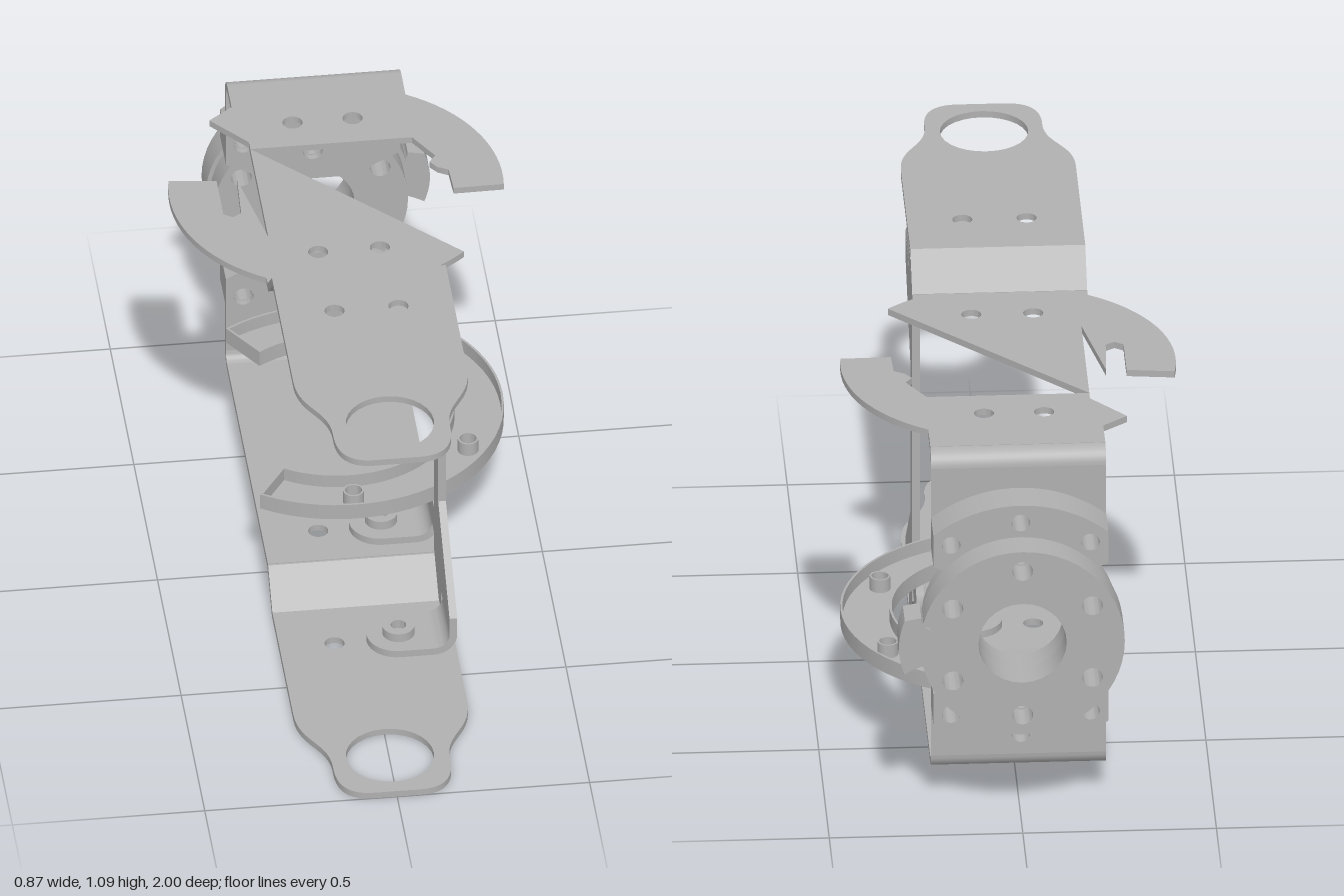
import * as THREE from 'three';
import { toCreasedNormals } from 'three/addons/utils/BufferGeometryUtils.js';

const W = 0.226, T = 0.018, TOP = 1.09, MID = 0.545, RZ = -0.295;

export function createModel() {
  const model = new THREE.Group();
  const metal = new THREE.MeshStandardMaterial({ color: 0xb0b0b0, side: THREE.DoubleSide });
  metal.name = 'grey metal';

  const add = (name, geo) => {
    const m = new THREE.Mesh(toCreasedNormals(geo, 0.5), metal);
    m.name = name;
    model.add(m);
    return m;
  };
  const poly = (pts) => new THREE.Shape(pts.map(([a, b]) => new THREE.Vector2(a, b)));
  const punch = (shape, holes, r) => {
    for (const [a, b] of holes) shape.holes.push(new THREE.Path().absarc(a, b, r, 0, Math.PI * 2));
    return shape;
  };
  const arc = (cx, cy, r, a0, a1, n = 16) => Array.from({ length: n + 1 }, (_, i) => {
    const a = a0 + (a1 - a0) * i / n;
    return [cx + r * Math.cos(a), cy + r * Math.sin(a)];
  });
  const ex = (shape, depth) => new THREE.ExtrudeGeometry(shape, { depth, bevelEnabled: false, curveSegments: 14 });
  // plan: shape in (x, z), laid flat below yTop
  const plan = (name, shape, yTop, t) => add(name, ex(shape, t).rotateX(Math.PI / 2).translate(0, yTop, 0));
  // side: shape in (z, y), spanning x0..x1
  const side = (name, shape, x0, x1) => add(name, ex(shape, x1 - x0).rotateY(-Math.PI / 2).translate(x1, 0, 0));
  // front: shape in (x, y), spanning z0..z1
  const front = (name, shape, z0, z1) => add(name, ex(shape, z1 - z0).translate(0, 0, z0));

  // arms with an eye at the tip, their ramps and the rear folds
  for (const top of [false, true]) {
    const y = (v) => (top ? TOP - v : v);
    const arm = new THREE.Shape();
    arm.moveTo(-W, 0.19);
    arm.lineTo(W, 0.19);
    arm.lineTo(W, 0.64);
    arm.bezierCurveTo(W, 0.76, 0.15, 0.77, 0.152, 0.88);
    arm.quadraticCurveTo(0.155, 1, 0.06, 1);
    arm.lineTo(-0.06, 1);
    arm.quadraticCurveTo(-0.155, 1, -0.152, 0.88);
    arm.bezierCurveTo(-0.15, 0.77, -W, 0.76, -W, 0.64);
    punch(arm, [[0, 0.845]], 0.114);
    punch(arm, [[-0.083, 0.35], [0.083, 0.35]], 0.026);
    plan(top ? 'upperArm' : 'lowerArm', arm, top ? TOP : T, T);
    side('ramp', poly([[0.2, T], [0.2, 0], [0.19, 0], [0.1, 0.085], [0.1, 0.085 + T], [0.11, 0.085 + T]]
      .map(([z, v]) => [z, y(v)])), -W, W);
    side('rearFold', poly([...arc(-0.76, 0.13, 0.043, -Math.PI / 2, -Math.PI, 8),
      ...arc(-0.76, 0.13, 0.025, -Math.PI, -Math.PI / 2, 8)].map(([z, v]) => [z, y(v)])), -W, W);
  }

  // lower deck
  plan('lowerDeck', punch(poly([[-W, -0.76], [W, -0.76], [W, 0.105], [-W, 0.105]]),
    [[-0.08, -0.02], [0.08, -0.02]], 0.026), 0.105, T);

  // upper deck, in two separate round-sided pieces with cut edges
  plan('upperDeckRear', punch(poly([[-W, -0.76], [W, -0.76], ...arc(0, RZ, 0.433, -1.022, 0.1),
    [0.3, -0.25], [0.297, -0.33], [0.27, -0.345], [0.252, -0.37], [0.27, -0.395], [0.22, -0.48],
    [-0.2, -0.48], [-0.2, -0.51], [-0.29, -0.615], [-W, -0.665]]),
    [[-0.078, -0.58], [0.078, -0.58]], 0.026), 1.004, T);
  plan('upperDeckFront', punch(poly([[-W, 0.105], [W, 0.105], ...arc(0, RZ, 0.433, 1.022, 0.827, 5),
    [-0.2, -0.48], [-0.2, -0.1], [-0.25, -0.35], [-0.257, -0.21], [-0.28, -0.195], [-0.303, -0.21],
    [-0.303, -0.355], ...arc(0, RZ, 0.433, 3.315, 2.12)]),
    [[-0.08, -0.02], [0.08, -0.02]], 0.026), 1.004, T);

  // open C-shaped tray ring
  const A = Math.PI / 2 + 0.585;
  const cee = (r0, r1) => poly([...arc(0, RZ, r1, -A, A, 48), ...arc(0, RZ, r0, A, -A, 48)]);
  const ringHoles = [-90, -30, 30, 90].map((d) => [0.37 * Math.cos(d * Math.PI / 180), RZ + 0.37 * Math.sin(d * Math.PI / 180)]);
  plan('ringFloor', punch(cee(0.3, 0.433), ringHoles, 0.022), 0.263, 0.008);
  plan('ringOuterWall', cee(0.427, 0.433), 0.3, 0.045);
  plan('ringInnerWall', cee(0.3, 0.306), 0.3, 0.045);
  for (const [x, z] of ringHoles) {
    plan('ringTube', punch(poly(arc(x, z, 0.027, 0, Math.PI * 2, 20).slice(0, -1)), [[x, z]], 0.022), 0.3, 0.045);
  }
  for (const s of [-1, 1]) {
    const end = add('ringEnd', new THREE.BoxGeometry(0.133, 0.045, 0.006));
    end.position.set(0.366 * Math.cos(A), 0.2775, RZ + s * 0.366 * Math.sin(A));
    end.rotation.y = -s * A;
  }

  // side web
  side('sideWeb', poly([[0.43, 1.015], [0.43, 0.957], [0.19, 0.765], [0.19, 0.33], [0.43, 0.13],
    [0.43, 0.075], [0.28, 0.075], [0.28, 0.085], [0.25, 0.085], [0.25, 0.025], [0.2, 0.025],
    [0.1, 0.115], [0.1, 0.165], [-0.1, 0.165], [-0.1, 0.215], [-0.09, 0.237], [-0.07, 0.245],
    [0.1, 0.245], [0.1, 0.985], [0.2, 1.065], [0.25, 1.065], [0.25, 1.005], [0.28, 1.005], [0.28, 1.015]]),
    W - 0.02, W);

  // folded tabs with a washer boss: [base y, direction, z centre]
  for (const [y0, d, z] of [[T, 1, 0.35], [0.105, 1, -0.02], [TOP - T, -1, 0.35]]) {
    const bend = poly([[0.08, 0], ...arc(W - 0.06, 0.06, 0.06, -Math.PI / 2, 0, 8),
      ...arc(W - 0.06, 0.06, 0.04, 0, -Math.PI / 2, 8), [0.08, 0.02]].map(([x, v]) => [x, y0 + d * v]));
    front('tabBend', bend, z - 0.08, z + 0.08);
    plan('tabEnd', punch(poly(arc(0.08, z, 0.08, Math.PI / 2, Math.PI * 1.5, 20)), [], 0),
      d > 0 ? y0 + 0.02 : y0, 0.02);
    plan('tabBoss', punch(poly(arc(0.083, z, 0.042, 0, Math.PI * 2, 24).slice(0, -1)), [[0.083, z]], 0.02),
      d > 0 ? y0 + 0.045 : y0 - 0.02, 0.025);
  }

  // rear wall halves and the mounting lobes behind them
  const six = [30, 90, 150, 210, 270, 330].map((d) => [0.208 * Math.cos(d * Math.PI / 180), MID + 0.208 * Math.sin(d * Math.PI / 180)]);
  const lobeArc = Math.acos(W / 0.355);
  for (const s of [1, -1]) {
    const flip = (pts) => pts.map(([x, v]) => [x, MID + s * v]);
    const edge = [[-W, 0.185], [-0.1, 0.12], [0.1, 0.12], [W, 0.185]];
    const holes = flip([[0, 0.305], [-0.18, 0.245], [0.18, 0.245], [0, 0.208]]);
    front('rearWall', punch(poly(flip([...edge, [W, 0.415], [-W, 0.415]])), holes, 0.026), -0.803, -0.785);
    front('mountLobe', punch(poly(flip([...edge, ...arc(0, 0, 0.355, lobeArc, Math.PI - lobeArc, 20)])), holes, 0.024), -0.905, -0.803);
  }

  // round hub
  const hub = (name, r, z0, z1) => front(name,
    punch(punch(poly(arc(0, MID, r, 0, Math.PI * 2, 56).slice(0, -1)), [[0, MID]], 0.114), six, 0.027), z0, z1);
  hub('hubBase', 0.253, -0.905, -0.83);
  hub('hubFlange', 0.264, -0.99, -0.905);

  // flared side knob
  const knob = new THREE.Shape();
  knob.moveTo(0.24, MID - 0.05);
  knob.quadraticCurveTo(0.27, MID - 0.055, 0.305, MID - 0.077);
  knob.quadraticCurveTo(0.335, MID, 0.305, MID + 0.077);
  knob.lineTo(0.262, MID + 0.085);
  knob.quadraticCurveTo(0.262, MID + 0.06, 0.24, MID + 0.05);
  front('sideKnob', knob, -1, -0.912);

  return model;
}
